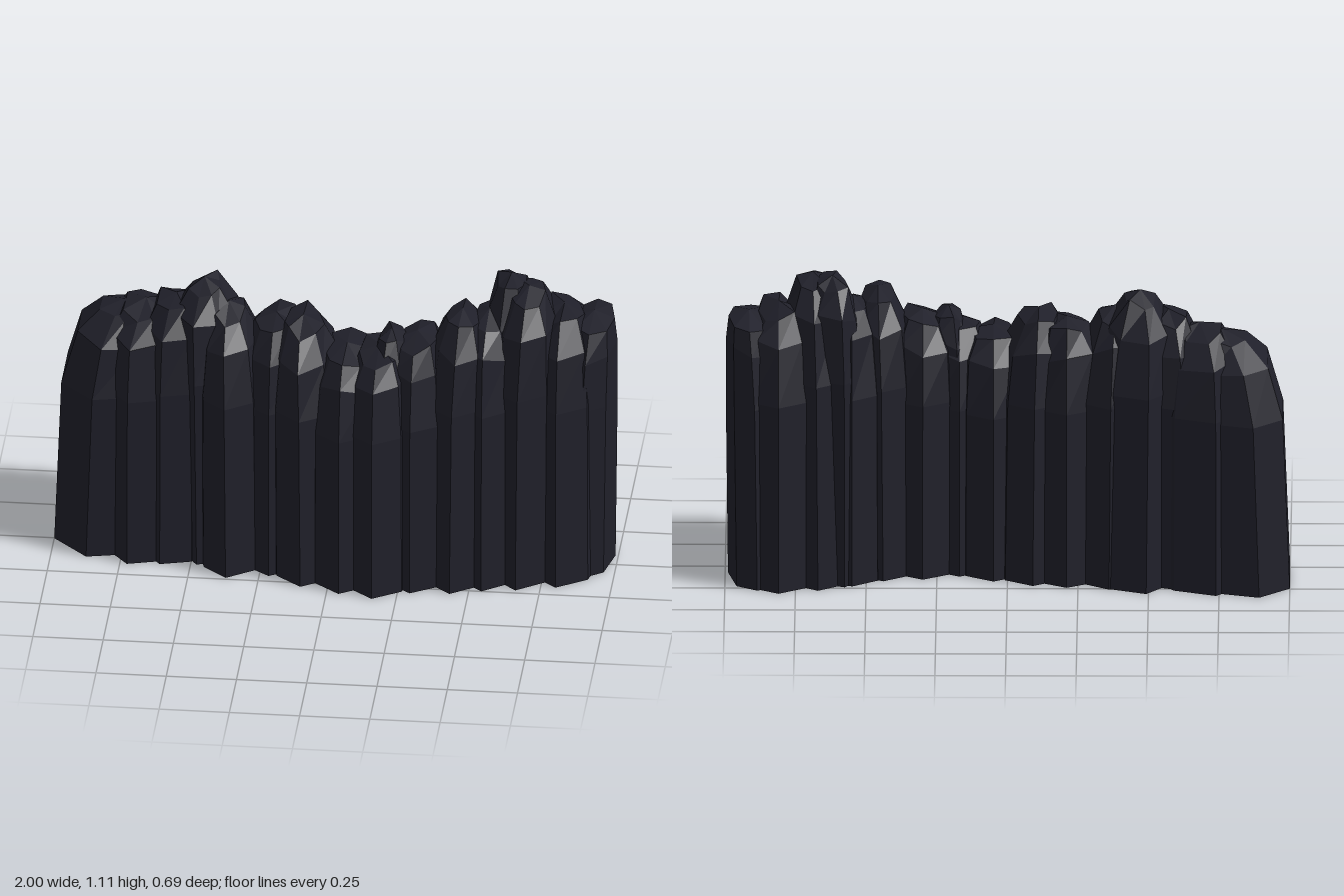
import * as THREE from 'three';

const rock = new THREE.MeshStandardMaterial({ color: 0x20202a, flatShading: true });
rock.name = 'darkRock';

// small seeded generator for the chipped, irregular look
function seeded(seed) {
  let s = seed * 7919 + 17;
  return () => ((s = (s * 16807) % 2147483647) / 2147483647);
}

// footprint outlines (x, z in -1..1), running back, left, front, right
const BLUNT = [[-0.4, -1], [-1, -0.56], [-1, 0.47], [-0.3, 1], [0.55, 0.86], [1, 0.4], [1, -0.4], [0.6, -0.76]];
const POINTED = [[0, -1], [-0.75, -0.72], [-1, 0.1], [-0.7, 0.7], [-0.05, 1], [0.72, 0.72], [1, 0.05], [0.7, -0.74]];

// height fraction and footprint scale of each ring of a column
const RINGS = [[0, 1], [0.68, 0.97], [0.88, 0.81], [0.97, 0.46]];

// one tapering column of rock; taper scales how far the top draws in,
// leanX and leanZ shift its peak sideways
function column([x, z, w, d, h, taper, outline, leanX = 0, leanZ = 0], index) {
  const rnd = seeded(index + 3);
  const n = outline.length;
  const pos = [];
  const idx = [];
  RINGS.forEach(([fy, s], r) => {
    const scale = 1 - (1 - s) * taper;
    const lean = fy ** 3;
    const rough = r < 2 ? 0 : 1;
    for (const [ox, oz] of outline) {
      const chip = scale + rough * (rnd() - 0.5) * 0.1;
      const y = fy * h + rough * (rnd() - 0.5) * 0.04;
      pos.push(x + ox * w * chip + leanX * lean, Math.min(y, h), z + oz * d * chip + leanZ * lean);
    }
  });
  const top = pos.length / 3;
  pos.push(x + leanX, h, z + leanZ, x, 0, z);
  for (let i = 0; i < n; i++) {
    const j = (i + 1) % n;
    for (let r = 0; r < RINGS.length - 1; r++) {
      const a = r * n + i, b = r * n + j;
      idx.push(a, b, b + n, a, b + n, a + n);
    }
    const last = (RINGS.length - 1) * n;
    idx.push(top, last + i, last + j, top + 1, j, i);
  }
  const indexed = new THREE.BufferGeometry();
  indexed.setAttribute('position', new THREE.Float32BufferAttribute(pos, 3));
  indexed.setIndex(idx);
  const geo = indexed.toNonIndexed();
  geo.computeVertexNormals();
  const mesh = new THREE.Mesh(geo, rock);
  mesh.name = 'rockColumn' + (index + 1);
  return mesh;
}

export function createModel() {
  const group = new THREE.Group();
  group.name = 'rockWall';
  // x, z, half width, half depth, height, taper, outline, lean of the peak in x and z
  const columns = [
    [-0.82, -0.11, 0.18, 0.24, 0.92, 1.1, BLUNT, 0.06, 0.01],
    [-0.68, -0.08, 0.15, 0.25, 0.94, 0.95, BLUNT],
    [-0.57, -0.055, 0.13, 0.215, 0.98, 0.95, BLUNT],
    [-0.44, -0.08, 0.13, 0.23, 1.05, 1.1, BLUNT, -0.03, 0.03],
    [-0.36, -0.01, 0.13, 0.25, 0.98, 0.95, POINTED, -0.02],
    [-0.21, -0.015, 0.14, 0.225, 0.94, 0.85, POINTED],
    [-0.09, 0.03, 0.14, 0.25, 0.96, 0.95, POINTED, -0.02],
    [0.05, 0.075, 0.14, 0.245, 0.88, 0.8, POINTED],
    [0.17, 0.115, 0.13, 0.23, 0.9, 0.8, POINTED],
    [0.21, 0.08, 0.09, 0.17, 0.95, 0.95, BLUNT],
    [0.3, 0.07, 0.13, 0.22, 0.94, 0.8, POINTED],
    [0.44, 0.055, 0.12, 0.225, 1.03, 0.9, POINTED, 0.02],
    [0.55, 0.01, 0.12, 0.24, 1.01, 0.9, POINTED],
    [0.62, -0.03, 0.11, 0.21, 1.11, 1, BLUNT, 0, -0.05],
    [0.67, -0.025, 0.13, 0.255, 1.1, 1, POINTED, 0.02, 0.02],
    [0.81, -0.06, 0.14, 0.255, 1.01, 0.9, POINTED],
    [0.885, -0.08, 0.105, 0.2, 0.98, 0.5, POINTED, 0.03, 0.01],
  ];
  columns.forEach((c, i) => group.add(column(c, i)));
  return group;
}
